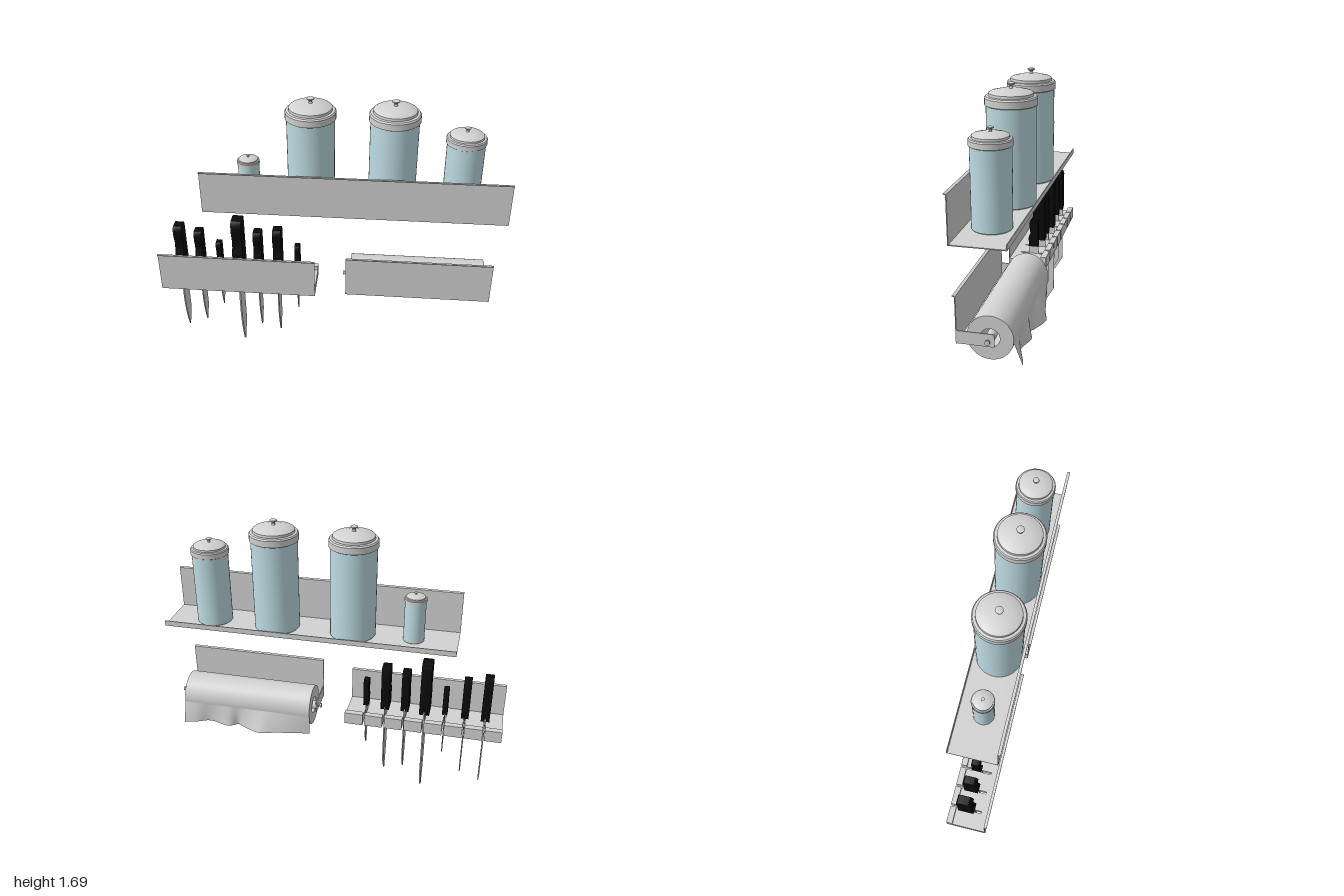
import * as THREE from 'three';
import { toCreasedNormals } from 'three/addons/utils/BufferGeometryUtils.js';

const material = (name, color, side = THREE.FrontSide) => {
  const m = new THREE.MeshStandardMaterial({ color, side });
  m.name = name;
  return m;
};

export function createModel() {
  const root = new THREE.Group();
  root.name = 'kitchenRailSet';
  const steel = material('paleGrey', 0xd2d2d2, THREE.DoubleSide);
  const blue = material('paleBlue', 0xbedde4);
  const black = material('black', 0x0a0a0a);

  const group = (name, parent = root) => {
    const g = new THREE.Group();
    g.name = name;
    parent.add(g);
    return g;
  };
  const add = (parent, name, geo, mat, x = 0, y = 0, z = 0) => {
    const m = new THREE.Mesh(geo, mat);
    m.name = name;
    m.position.set(x, y, z);
    parent.add(m);
    return m;
  };
  // box given by its limits on each axis
  const block = (parent, name, [x0, x1], [y0, y1], [z0, z1]) =>
    add(parent, name, new THREE.BoxGeometry(x1 - x0, y1 - y0, z1 - z0), steel,
      (x0 + x1) / 2, (y0 + y1) / 2, (z0 + z1) / 2);
  // bent sheet metal: a (z, y) path swept along x
  const sheet = (parent, name, x0, x1, path, t = 0.005) => {
    const g = group(name, parent);
    for (let i = 0; i < path.length - 1; i++) {
      const [za, ya] = path[i], [zb, yb] = path[i + 1];
      const len = Math.hypot(zb - za, yb - ya);
      const m = add(g, name + 'Panel', new THREE.BoxGeometry(x1 - x0, t, len + t * 0.8), steel,
        (x0 + x1) / 2, (ya + yb) / 2, (za + zb) / 2);
      m.rotation.x = -Math.atan2(yb - ya, zb - za);
    }
  };
  // flat (z, y) outline given a thickness along x
  const slab = (pts, t) => {
    const shape = new THREE.Shape(pts.map(([z, y]) => new THREE.Vector2(z, y)));
    const geo = new THREE.ExtrudeGeometry(shape, { depth: t, bevelEnabled: false });
    geo.translate(0, 0, -t / 2);
    geo.rotateY(-Math.PI / 2);
    return toCreasedNormals(geo, 0.6);
  };
  const lathe = (pts, n = 40) => toCreasedNormals(
    new THREE.LatheGeometry(pts.map(([r, y]) => new THREE.Vector2(r, y)), n), 0.5);

  // shelf: tall front, floor and low back lip
  const shelf = group('shelf');
  sheet(shelf, 'shelfTray', -0.7, 1,
    [[-0.11, 1.065], [-0.11, 1.038], [0.172, 1.038], [0.172, 1.285], [0.184, 1.287]]);

  // canisters: one design at several scales
  const bodyGeo = lathe([[0, 0], [0.126, 0], [0.131, 0.006], [0.131, 0.54]]);
  const lidGeo = lathe([[0.131, 0.53], [0.138, 0.534], [0.138, 0.57], [0.132, 0.578], [0.118, 0.58],
    [0.117, 0.594], [0.108, 0.6], [0.06, 0.612], [0, 0.617]]);
  const knobGeo = lathe([[0.013, 0.612], [0.008, 0.622], [0.009, 0.63], [0.021, 0.638],
    [0.021, 0.643], [0.012, 0.647], [0, 0.648]], 20);
  for (const [x, s] of [[-0.447, 0.455], [-0.095, 1], [0.355, 1], [0.74, 0.785]]) {
    const c = group('canister');
    c.position.set(x, 1.04, 0.032);
    c.scale.setScalar(s);
    add(c, 'canisterBody', bodyGeo, blue);
    add(c, 'canisterLid', lidGeo, steel);
    add(c, 'lidKnob', knobGeo, steel);
  }

  // knife rack: front panel with a slotted bar behind it
  const knives = [0.83, 0.74, 0.515, 1, 0.77, 0.83, 0.515]
    .map((s, i) => ({ s, x: -0.895 + i * 0.1183 }));
  const rack = group('knifeRack');
  sheet(rack, 'rackFront', -1, -0.07, [[0.165, 0.473], [0.165, 0.717], [0.177, 0.719]]);
  block(rack, 'rackStrip', [-1, -0.07], [0.472, 0.52], [0.12, 0.163]);
  const edges = [-1, ...knives.flatMap(k => [k.x - 0.006, k.x + 0.006]), -0.07];
  for (let i = 0; i < edges.length; i += 2) {
    const span = [edges[i], edges[i + 1]];
    block(rack, 'rackFinger', span, [0.472, 0.52], [-0.03, 0.12]);
    block(rack, 'rackLip', span, [0.472, 0.545], [-0.065, -0.03]);
  }

  // knives scaled about the joint of blade and handle
  const bladeGeo = slab([[-0.06, 0.02], [-0.06, -0.455], [0.008, -0.57], [0.03, -0.5], [0.052, -0.41],
    [0.063, -0.33], [0.065, -0.24], [0.06, -0.12], [0.05, 0.02]], 0.009);
  const handleGeo = slab([[-0.06, 0], [-0.06, 0.31], [-0.052, 0.333], [-0.03, 0.34], [0.025, 0.34],
    [0.04, 0.325], [0.046, 0.3], [0.045, 0.26], [0.032, 0.207], [0.036, 0.162], [0.053, 0.126],
    [0.058, 0.095], [0.051, 0.05], [0.05, 0]], 0.06);
  for (const { s, x } of knives) {
    const k = group('knife');
    k.position.set(x, 0.57, 0.038);
    k.scale.setScalar(s);
    add(k, 'knifeBlade', bladeGeo, steel);
    add(k, 'knifeHandle', handleGeo, black);
  }

  // paper holder: front panel, side arms and axle
  const holder = group('paperHolder');
  const axisY = 0.534;
  sheet(holder, 'holderFront', 0.112, 0.955, [[0.165, 0.5], [0.165, 0.753], [0.177, 0.755]]);
  const along = (r, len, n = 24) => new THREE.CylinderGeometry(r, r, len, n).rotateZ(Math.PI / 2);
  add(holder, 'axle', along(0.025, 0.836), steel, 0.5335, axisY, 0);
  for (const side of [-1, 1]) {
    const x = 0.5335 + side * 0.4185;
    block(holder, 'holderArm', [x - 0.003, x + 0.003], [0.5, 0.57], [-0.03, 0.165]);
    add(holder, 'axlePin', along(0.006, 0.025, 12), steel, x + side * 0.012, axisY, 0);
    add(holder, 'axleKnob', along(0.013, 0.01, 16), steel, x + side * 0.023, axisY, 0);
  }

  // paper roll with a hollow core
  const rollGeo = lathe([[0.05, -0.395], [0.12, -0.395], [0.12, 0.395], [0.05, 0.395], [0.05, -0.395]], 48);
  rollGeo.rotateZ(Math.PI / 2);
  add(holder, 'paperRoll', rollGeo, steel, 0.53, axisY, 0);

  // loose end of the paper, straight at the roll and wavy at the hem
  const hem = new THREE.SplineCurve([[0.135, -0.115], [0.25, -0.135], [0.35, -0.155], [0.44, -0.177],
    [0.54, -0.14], [0.59, -0.115], [0.65, -0.146], [0.77, -0.115], [0.85, -0.145], [0.925, -0.166]]
    .map(([x, z]) => new THREE.Vector2(x, z)));
  const flap = new THREE.PlaneGeometry(1, 1, 40, 4);
  const p = flap.attributes.position;
  for (let i = 0; i < p.count; i++) {
    const h = hem.getPoint(THREE.MathUtils.clamp(p.getX(i) + 0.5, 0, 1));
    const down = 0.5 - p.getY(i);
    p.setXYZ(i, h.x, 0.52 - 0.124 * down, THREE.MathUtils.lerp(-0.12, h.y, down));
  }
  flap.computeVertexNormals();
  add(holder, 'paperFlap', flap, steel);

  return root;
}
